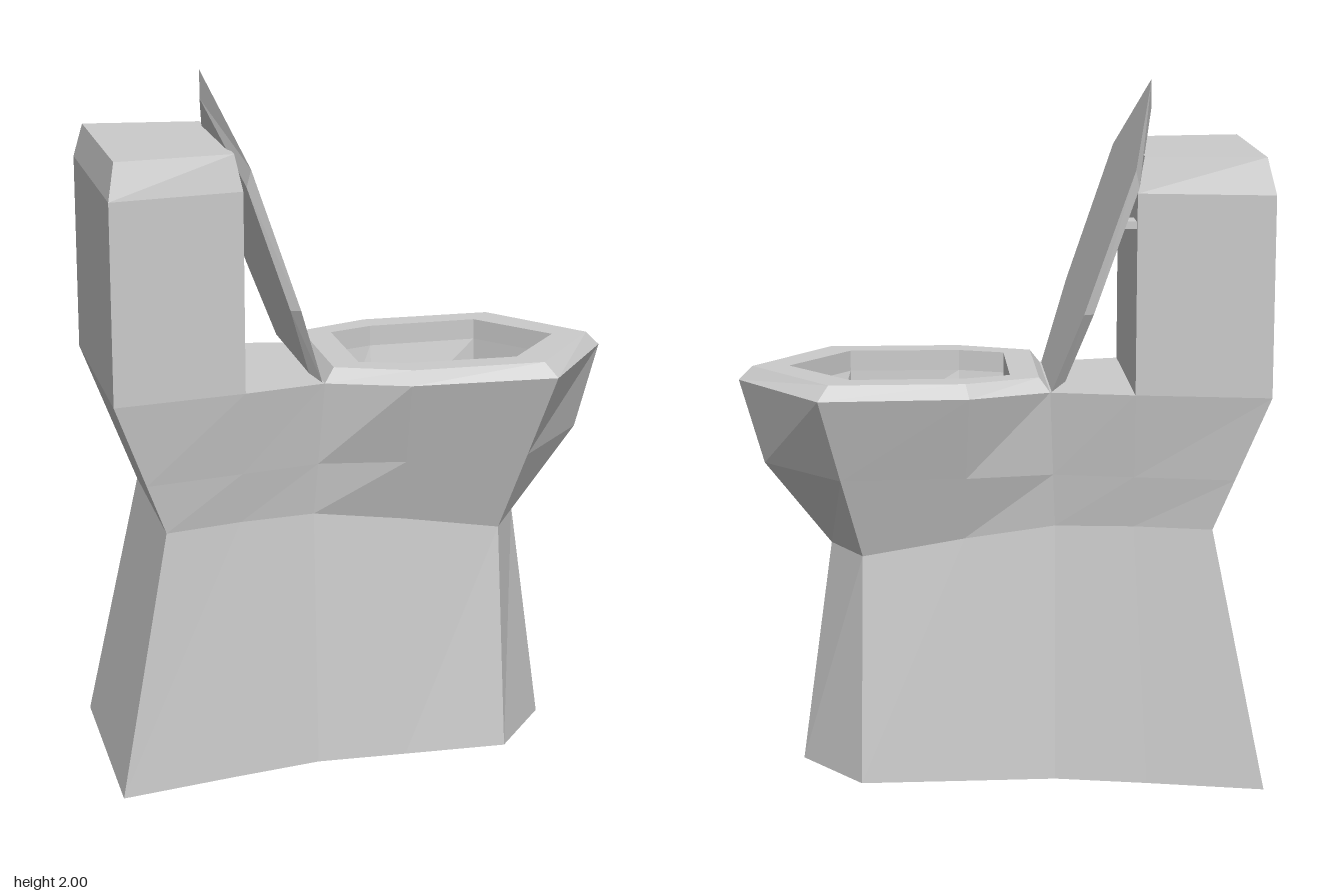
import * as THREE from 'three';

const material = new THREE.MeshStandardMaterial({ color: 0xcccccc, flatShading: true, side: THREE.DoubleSide });

// Mirrors half an outline of [x, z, y] points into a closed ring of vectors.
function ring(half, y) {
  const left = half.map(([x, z, h]) => new THREE.Vector3(x, h ?? y, z));
  const right = left.filter((p) => p.z !== 0).reverse().map((p) => new THREE.Vector3(p.x, p.y, -p.z));
  return [...left, ...right];
}

// Skins a stack of rings, closing the first and last one on request.
function loft(name, rings, capStart, capEnd) {
  const points = [];
  const n = rings[0].length;
  const cap = (r, flip) => {
    const centre = r.reduce((s, p) => s.add(p), new THREE.Vector3()).divideScalar(n);
    r.forEach((p, i) => {
      const q = r[(i + 1) % n];
      points.push(centre, ...(flip ? [q, p] : [p, q]));
    });
  };
  for (let k = 0; k < rings.length - 1; k++) {
    const a = rings[k], b = rings[k + 1];
    for (let i = 0; i < n; i++) {
      const j = (i + 1) % n;
      points.push(a[i], a[j], b[j], a[i], b[j], b[i]);
    }
  }
  if (capStart) cap(rings[0], true);
  if (capEnd) cap(rings[rings.length - 1], false);
  const geometry = new THREE.BufferGeometry().setFromPoints(points);
  geometry.computeVertexNormals();
  const mesh = new THREE.Mesh(geometry, material);
  mesh.name = name;
  return mesh;
}

export function createModel() {
  const group = new THREE.Group();
  group.name = 'toilet';

  // Pedestal: wide foot, narrow waist, flaring out to the rim
  const rim = [[-0.14, 0.23], [0.09, 0.315], [0.51, 0.33], [0.74, 0]];
  const tankBase = [[-0.75, 0.34], [-0.375, 0.28]];
  group.add(loft('pedestal', [
    ring([[-0.75, 0.34], [-0.42, 0.27], [-0.16, 0.22], [0.1, 0.225], [0.4, 0.23], [0.57, 0]], 0),
    ring([[-0.6, 0.26, 0.75], [-0.38, 0.21, 0.75], [-0.16, 0.17, 0.745],
      [0.1, 0.17, 0.71], [0.39, 0.165, 0.66], [0.48, 0, 0.66]]),
    ring([[-0.657, 0.29], [-0.378, 0.237], [-0.152, 0.193], [0.096, 0.233], [0.45, 0.247], [0.67, 0]], 0.9),
    ring([...tankBase, ...rim], 1.145),
  ], true, false));

  // Flat deck between tank and seat
  group.add(loft('deck', [ring([tankBase[1], rim[0]], 1.145)], false, true));

  // Tank with chamfered top
  group.add(loft('tank', [
    ring(tankBase, 1.145),
    ring(tankBase, 1.71),
    ring([[-0.728, 0.3], [-0.395, 0.26]], 1.81),
  ], true, true));

  // Seat ring
  const hole = [[-0.03, 0.17], [0.1, 0.215], [0.42, 0.22], [0.595, 0]];
  group.add(loft('seat', [
    ring(rim, 1.145),
    ring([[-0.11, 0.21], [0.1, 0.295], [0.48, 0.295], [0.7, 0]], 1.185),
    ring(hole, 1.185),
    ring(hole, 1.125),
  ], false, false));

  // Bowl sloping down to the drain
  group.add(loft('bowl', [
    ring(hole, 1.125),
    ring([[-0.03, 0.125, 0.85], [0.1, 0.155, 0.85], [0.42, 0.21, 0.93], [0.49, 0, 0.93]]),
    ring([[0.05, 0.04], [0.09, 0.06], [0.125, 0.05], [0.14, 0]], 0.78),
  ], false, true));

  // Raised lid leaning back on the tank
  const lean = (y) => -0.145 - 0.345 * (y - 1.145);
  const lid = (points, offset) => ring(points.map(([y, z]) => [lean(y) + offset, z, y]));
  group.add(loft('lid', [
    lid([[1.145, 0.22], [1.38, 0.32], [1.78, 0.335], [2, 0]], 0),
    lid([[1.175, 0.22], [1.38, 0.31], [1.73, 0.325], [1.92, 0]], -0.028),
  ], true, true));

  // Flush lever on the tank front
  const lever = new THREE.Mesh(new THREE.BoxGeometry(0.035, 0.02, 0.08), material);
  lever.name = 'flushLever';
  lever.position.set(-0.358, 1.62, -0.22);
  group.add(lever);

  return group;
}
